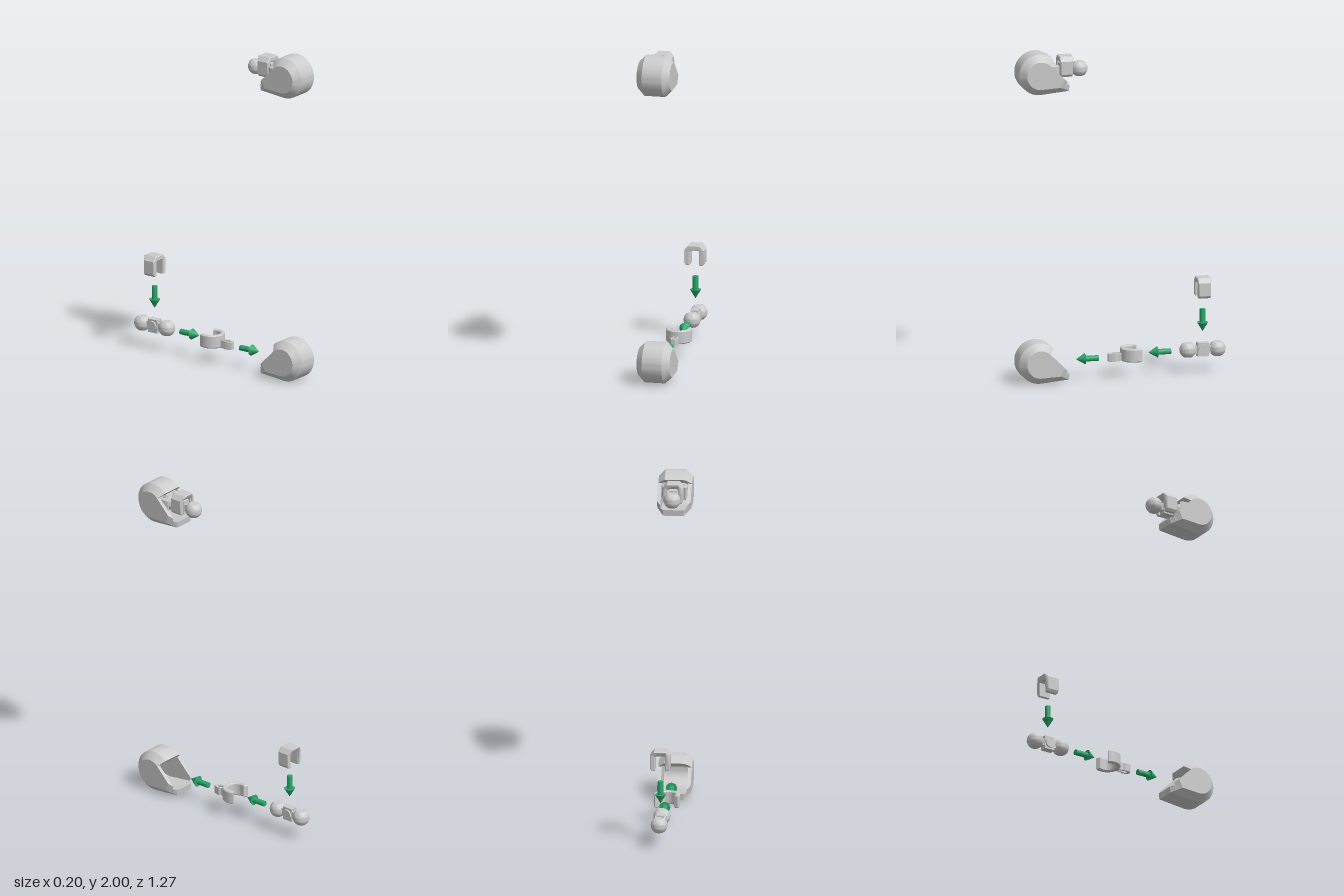
import * as THREE from 'three';
import { toCreasedNormals } from 'three/addons/utils/BufferGeometryUtils.js';

const grey = new THREE.MeshStandardMaterial({ color: 0xcccccc });
const green = new THREE.MeshStandardMaterial({ color: 0x2aa86c });
const rad = THREE.MathUtils.degToRad;
const mix = THREE.MathUtils.lerp;

function mesh(name, geometry, material = grey) {
  const flat = geometry.index ? geometry.toNonIndexed() : geometry;
  const m = new THREE.Mesh(toCreasedNormals(flat, 0.5), material);
  m.name = name;
  return m;
}

function group(name, ...parts) {
  const g = new THREE.Group();
  g.name = name;
  g.add(...parts);
  return g;
}

// Capped solid from matching counter-clockwise side profiles [back, up] at rising x
function loft(sections) {
  const pos = [];
  const push = (x, p) => pos.push(x, p[1], -p[0]);
  for (let s = 0; s < sections.length - 1; s++) {
    const A = sections[s], B = sections[s + 1], n = A.pts.length;
    for (let i = 0; i < n; i++) {
      const j = (i + 1) % n;
      push(A.x, A.pts[i]); push(A.x, A.pts[j]); push(B.x, B.pts[j]);
      push(A.x, A.pts[i]); push(B.x, B.pts[j]); push(B.x, B.pts[i]);
    }
  }
  const cap = ({ x, pts }, flip) => {
    const tris = THREE.ShapeUtils.triangulateShape(pts.map(p => new THREE.Vector2(...p)), []);
    for (const t of tris) for (const k of flip ? [t[0], t[2], t[1]] : t) push(x, pts[k]);
  };
  cap(sections[0], true);
  cap(sections[sections.length - 1], false);
  const g = new THREE.BufferGeometry();
  g.setAttribute('position', new THREE.Float32BufferAttribute(pos, 3));
  return g;
}

function arc(r, from, to, n = 28) {
  return Array.from({ length: n + 1 }, (_, i) => {
    const a = rad(mix(from, to, i / n));
    return [r * Math.cos(a), r * Math.sin(a)];
  });
}

// Hollow rounded shell, open at the back
function shell() {
  const wall = 0.078, half = 0.1, rim = 0.06;
  const profile = (ax, solid) => {
    const s = Math.max(0, (ax - rim) / (half - rim));
    const pts = arc(mix(0.123, 0.083, s), 45, 274);
    pts.push([mix(0.18, 0.12, s), mix(-0.107, -0.077, s)]);
    if (solid) pts.push([mix(0.185, 0.146, s), mix(-0.063, -0.028, s)], [0.06, 0.058]);
    else pts.push([mix(0.185, 0.146, s), mix(-0.07, -0.06, s)], ...arc(0.086, 274, 45));
    return pts;
  };
  const section = solid => x => ({ x, pts: profile(Math.abs(x), solid) });
  return group('shell',
    mesh('shellBody', loft([-wall, -rim, rim, wall].map(section(false)))),
    mesh('leftCheek', loft([wall, half].map(section(true)))),
    mesh('rightCheek', loft([-half, -wall].map(section(true)))));
}

// Mirrored outline from half points [x, z]
function mirrored(half) {
  return [...half, ...half.map(([x, y]) => [-x, y]).reverse()].map(p => new THREE.Vector2(...p));
}

function extrude(shape, depth, bevel) {
  const g = new THREE.ExtrudeGeometry(shape, {
    depth: depth - 2 * bevel, curveSegments: 28, bevelEnabled: bevel > 0,
    bevelSize: bevel, bevelThickness: bevel, bevelOffset: -bevel, bevelSegments: 1
  });
  return g.translate(0, 0, -depth / 2 + bevel);
}

// Open ring socket with a split snap prong; origin at the ring centre
function clip() {
  const ring = new THREE.Shape();
  ring.absarc(0, 0, 0.0775, rad(-30), rad(210), false);
  ring.absarc(0, 0, 0.05, rad(210), rad(-30), true);
  const prong = new THREE.Shape(mirrored([[0.016, 0.065], [0.016, 0.1], [0.024, 0.113], [0.022, 0.135], [0.012, 0.154]]));
  prong.holes.push(new THREE.Path(mirrored([[0.007, 0.08], [0.007, 0.104], [0.013, 0.116], [0.006, 0.138]])));
  return group('clip',
    mesh('socketRing', extrude(ring, 0.08, 0.006).rotateX(Math.PI / 2)),
    mesh('snapProng', extrude(prong, 0.048, 0).rotateX(Math.PI / 2).translate(0, -0.016, 0)));
}

// Two flat-topped balls joined by a block and a cross pin
function ballLink() {
  const r = 0.05, a = Math.asin(0.042 / r);
  const profile = [new THREE.Vector2(0, -0.042)];
  for (let i = 0; i <= 14; i++) {
    const t = mix(-a, a, i / 14);
    profile.push(new THREE.Vector2(r * Math.cos(t), r * Math.sin(t)));
  }
  profile.push(new THREE.Vector2(0, 0.042));
  const g = group('ballLink',
    mesh('linkBar', new THREE.BoxGeometry(0.036, 0.045, 0.13)),
    mesh('linkBlock', new THREE.BoxGeometry(0.044, 0.082, 0.068)),
    mesh('crossPin', new THREE.CylinderGeometry(0.031, 0.031, 0.064, 24).rotateZ(Math.PI / 2)));
  for (const side of [1, -1]) {
    const ball = mesh(side > 0 ? 'frontBall' : 'backBall', new THREE.LatheGeometry(profile, 28));
    ball.position.z = side * 0.09;
    g.add(ball);
  }
  return g;
}

// U-shaped cap with a small lip along its upper back edge
function cap() {
  const half = [[0.03, -0.037], [0.05, -0.037], [0.06, -0.022], [0.06, 0.056], [0.036, 0.083]];
  const inner = [[-0.024, 0.053], [-0.03, 0.047], [-0.03, -0.037]];
  const shape = new THREE.Shape([
    ...half, ...half.map(([x, y]) => [-x, y]).reverse(),
    ...inner.slice().reverse().slice(1), ...inner.slice(0, 2).map(([x, y]) => [-x, y])
  ].map(p => new THREE.Vector2(...p)));
  const g = extrude(shape, 0.076, 0.004);
  const p = g.attributes.position;
  for (let i = 0; i < p.count; i++) {
    if (p.getY(i) > 0.07 && p.getZ(i) < 0) p.setZ(i, p.getZ(i) - 0.01);
  }
  return mesh('cap', g);
}

// Direction arrow with its tip at the origin, pointing down
function arrow() {
  const pts = [[0, 0], [0.033, 0.055], [0.017, 0.055], [0.017, 0.137], [0, 0.137]];
  return mesh('arrow', new THREE.LatheGeometry(pts.map(p => new THREE.Vector2(...p)), 20), green);
}

export function createModel() {
  const root = new THREE.Group();
  root.name = 'jointAssembly';
  const place = (part, y, z, turn = 0) => {
    part.position.set(0, y, z);
    part.rotation.x = turn;
    return part;
  };

  // Separated parts in a row
  root.add(group('explodedParts',
    place(shell(), 0.123, 0.513),
    place(clip(), 0.138, -0.074),
    place(ballLink(), 0.14, -0.497),
    place(cap(), 0.495, -0.497),
    place(arrow(), 0.248, -0.497),
    place(arrow(), 0.138, -0.166, -Math.PI / 2),
    place(arrow(), 0.122, 0.275, -Math.PI / 2)));

  // The same parts fitted together
  root.add(group('assembledParts',
    place(shell(), 1.877, 0.513),
    place(clip(), 1.89, 0.435),
    place(ballLink(), 1.89, 0.345),
    place(cap(), 1.89, 0.345)));
  return root;
}
